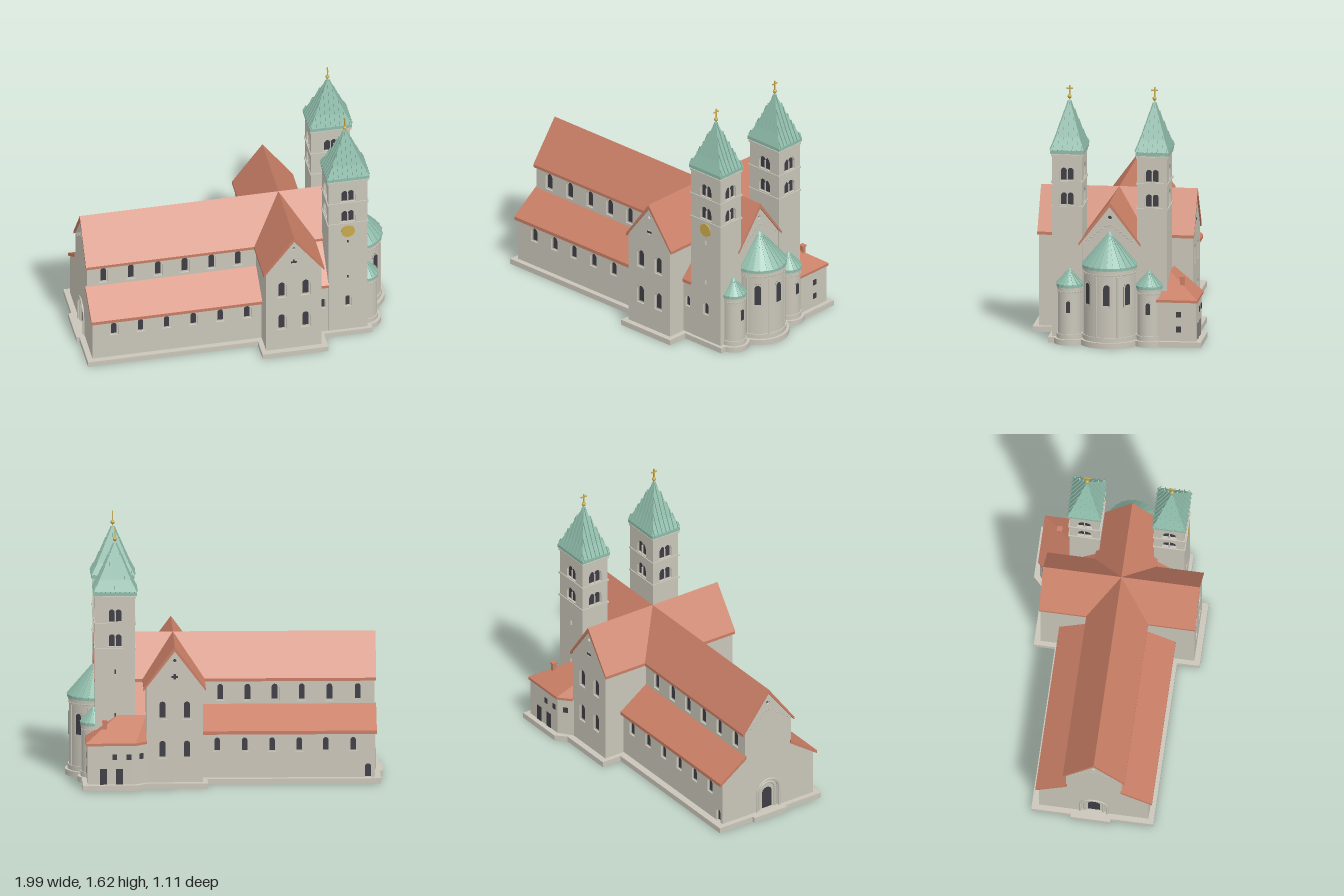
import * as THREE from 'three';
import { mergeGeometries } from 'three/addons/utils/BufferGeometryUtils.js';
import { ConvexGeometry } from 'three/addons/geometries/ConvexGeometry.js';

const PI = Math.PI, AXIS = 0.03; // AXIS: z of the nave centre line
const mat = (name, color) => Object.assign(new THREE.MeshStandardMaterial({ color }), { name });

export function createModel() {
  const stone = mat('stone', 0xc9c5b9), tile = mat('roofTile', 0xc87e65), copper = mat('copper', 0x8fbcaa);
  const dark = mat('darkOpening', 0x3d3d44), gold = mat('gold', 0xc8aa4c);
  const root = new THREE.Group();
  root.name = 'church';

  const add = (name, geo, m, parent = root, x = 0, y = 0, z = 0) => {
    const mesh = new THREE.Mesh(geo, m);
    mesh.name = name;
    mesh.position.set(x, y, z);
    parent.add(mesh);
    return mesh;
  };
  const box = (name, w, h, d, m, x, y, z, parent) => add(name, new THREE.BoxGeometry(w, h, d), m, parent, x, y, z);
  const poly = pts => new THREE.Shape(pts.map(p => new THREE.Vector2(...p)));
  const extrude = (shape, depth) => new THREE.ExtrudeGeometry(shape, { depth, bevelEnabled: false, curveSegments: 8 });
  const flat = g => { const n = g.toNonIndexed(); n.computeVertexNormals(); return n; };

  // Outline of an opening: round-headed, square or circular
  const opening = ({ x = 0, y, w, h, kind }, Type = THREE.Shape) => {
    const s = new Type();
    if (kind === 'round') { s.absarc(x, y, w / 2, 0, PI * 2, false); return s; }
    s.moveTo(x - w / 2, y);
    s.lineTo(x + w / 2, y);
    if (kind === 'square') { s.lineTo(x + w / 2, y + h); s.lineTo(x - w / 2, y + h); }
    else { s.lineTo(x + w / 2, y + h - w / 2); s.absarc(x, y + h - w / 2, w / 2, 0, PI, false); }
    s.closePath();
    return s;
  };
  const plain = (x, y, w, h, kind) => ({ x, y, w, h, kind, lights: [] });
  const framed = (x, y, w, h) => ({ x, y, w, h, lights: [{ x, y: y + h * 0.09, w: w * 0.62, h: h * 0.83 }] });
  const twin = y => ({ x: 0, y, w: 0.094, h: 0.094,
    lights: [-1, 1].map(s => ({ x: s * 0.021, y: y + 0.004, w: 0.036, h: 0.075 })) });

  // Recessed frame and dark pane of one opening
  const glaze = (win, parent, zFrame, zPane) => {
    add('windowPane', new THREE.ShapeGeometry(opening(win), 8), dark, parent, 0, 0, zPane);
    if (!win.lights.length) return;
    const f = opening(win);
    win.lights.forEach(l => f.holes.push(opening(l, THREE.Path)));
    add('windowFrame', new THREE.ShapeGeometry(f, 8), stone, parent, 0, 0, zFrame);
  };
  // Wall slab with openings; angle turns its outside from +z
  const wall = (name, outline, wins, x, z, angle) => {
    const g = new THREE.Group();
    g.name = name;
    g.position.set(x, 0, z);
    g.rotation.y = angle;
    root.add(g);
    const s = poly(outline);
    wins.forEach(w => s.holes.push(opening(w, THREE.Path)));
    add(name + 'Face', extrude(s, 0.02).translate(0, 0, -0.02), stone, g);
    wins.forEach(w => glaze(w, g, -0.011, -0.016));
    return g;
  };
  const rect = (x0, x1, y0, y1) => [[x0, y0], [x1, y0], [x1, y1], [x0, y1]];
  const gable = (hw, y0, eave, top) => [[-hw, y0], [hw, y0], [hw, eave], [0, top], [-hw, eave]];

  // Small blind arches
  const archlet = () => new THREE.TorusGeometry(0.010, 0.0035, 4, 6, PI);
  const gableFrieze = g => {
    const parts = [archlet().translate(0, 0.745, 0)];
    for (let i = 0; i < 6; i++) for (const s of [-1, 1])
      parts.push(archlet().translate(s * (0.024 + i * 0.023), 0.738 - i * 0.018, 0));
    add('gableFrieze', mergeGeometries(parts), stone, g);
  };

  // Plinth
  const plinth = poly([[-0.98, -0.36], [0.105, -0.36], [0.105, -0.495], [0.49, -0.495], [0.55, -0.555], [0.89, -0.555],
    [0.89, -0.25], [0.835, -0.25], [0.835, 0.415], [0.525, 0.415], [0.525, 0.552], [0.105, 0.552], [0.105, 0.41],
    [-0.98, 0.41], [-0.98, 0.14], [-1, 0.14], [-1, -0.11], [-0.98, -0.11]]);
  add('plinth', extrude(plinth, 0.035).rotateX(PI / 2).translate(0, 0.035, 0), stone);

  // Long walls, the same on both sides
  const nave = [-0.84, -0.663, -0.49, -0.32, -0.15, 0.02], aisle = [-0.807, -0.636, -0.47, -0.3, -0.128, 0.043];
  for (const s of [1, -1]) {
    const angle = s > 0 ? 0 : PI, z = d => AXIS + s * d;
    const span = (a, b, y0, y1) => rect(Math.min(a * s, b * s), Math.max(a * s, b * s), y0, y1);
    wall('clerestoryWall', span(-0.945, 0.8, 0.3, 0.65), nave.map(x => framed(x * s, 0.49, 0.058, 0.115)), 0, z(0.175), angle);
    const low = aisle.map(x => framed(x * s, 0.2, 0.055, 0.095));
    if (s < 0) low.push(plain(0.9, 0.036, 0.04, 0.085));
    wall('aisleWall', span(-0.945, 0.14, 0, 0.335), low, 0, z(0.345), angle);
    wall('transeptGable', gable(0.1775, 0, 0.64, 0.885), [
      ...[-0.0765, 0.0765].flatMap(x => [framed(x, 0.435, 0.062, 0.122), framed(x, 0.185, 0.062, 0.122)]),
      plain(0, 0.81, 0.022, 0, 'round'),
      plain(0, 0.687, 0.013, 0.038, 'square')], 0.3125, z(0.485), angle);
    box('crossOpeningArm', 0.038, 0.012, 0.004, dark, 0.3125, 0.706, z(0.485));
    for (const e of [-1, 1])
      wall('transeptSideWall', rect(-0.485, 0.485, 0, 0.65), [], 0.3125 + e * 0.1775, AXIS, e * PI / 2);
    wall('choirAisleWall', span(0.48, 0.58, 0, 0.395), [framed(0.525 * s, 0.215, 0.036, 0.075)], 0, z(0.36), angle);

    // Lean-to roofs
    const leanTo = (name, pts, x0, x1) => {
      const geo = extrude(poly(pts.map(([d, y]) => [-z(d), y])), x1 - x0);
      add(name, geo.rotateY(PI / 2), tile, root, x0);
    };
    leanTo('aisleRoof', [[0.368, 0.335], [0.17, 0.475], [0.17, 0.45], [0.368, 0.313]], -0.955, 0.136);
    leanTo('choirAisleRoof', [[0.372, 0.4], [0.17, 0.615], [0.17, 0.585], [0.372, 0.38]], 0.488, 0.56);
  }

  // Gable ends
  const west = wall('westFront', [[-0.345, 0], [0.345, 0], [0.345, 0.32], [0.175, 0.455], [0.175, 0.64], [0, 0.885],
    [-0.175, 0.64], [-0.175, 0.455], [-0.345, 0.32]], [
    { x: 0, y: 0.036, w: 0.15, h: 0.2, lights: [{ x: 0, y: 0.037, w: 0.075, h: 0.145 }] },
    plain(0, 0.8, 0.026, 0, 'round')], -0.945, AXIS, -PI / 2);
  const east = wall('eastGable', gable(0.175, 0, 0.64, 0.885), [plain(0, 0.8, 0.026, 0, 'round')], 0.8, AXIS, PI / 2);
  gableFrieze(west);
  gableFrieze(east);
  // Portal arches and columns
  [[0.085, 0.003], [0.058, -0.008]].forEach(([r, z]) => {
    add('portalArch', new THREE.TorusGeometry(r, 0.007, 6, 20, PI), stone, west, 0, 0.161, z);
    for (const s of [-1, 1]) add('portalColumn', new THREE.CylinderGeometry(0.007, 0.007, 0.13, 8), stone, west, s * r, 0.097, z);
  });

  // Crossing ridge roofs
  const ridge = hw => poly([[-hw, 0.637], [0, 0.9], [hw, 0.637], [hw, 0.618], [0, 0.87], [-hw, 0.618]]);
  add('naveRoof', extrude(ridge(0.195), 1.765).rotateY(PI / 2), tile, root, -0.955, 0, AXIS);
  add('transeptRoof', extrude(ridge(0.194), 0.988), tile, root, 0.3125, 0, AXIS - 0.494);

  // Towers
  const ringY = [[1, 1.225], [0.72, 1.3], [0, 1.53]];
  const spireY = f => f > 0.72 ? 1.225 + (1 - f) / 0.28 * 0.075 : 1.53 - f / 0.72 * 0.23;
  // Standing seams for one spire face: a = half width, b = distance to the face
  const seams = (a, b, k, angle) => {
    const out = [];
    for (let i = -k; i <= k; i++) {
      const u = Math.max(Math.abs(i) / (k + 0.5), 0.04);
      const fs = u < 0.7 ? [1, 0.72, u] : [1, u];
      const line = fs.map(f => [b * f, spireY(f)]);
      const pts = [...line, ...line.map(([o, y]) => [o + 0.007, y + 0.004]).reverse()];
      out.push(extrude(poly(pts), 0.006).translate(0, 0, -0.003).rotateY(-PI / 2)
        .translate(i / (k + 0.5) * a, 0, 0).rotateY(angle));
    }
    return out;
  };
  for (const s of [1, -1]) {
    const cx = 0.682, cz = AXIS + s * 0.268;
    for (let i = 0; i < 4; i++) {
      const angle = i * PI / 2, wide = i % 2 === 0, hw = wide ? 0.125 : 0.095, d = wide ? 0.095 : 0.125;
      const wins = [twin(1.033), twin(0.875)];
      if (i === (s > 0 ? 0 : 2)) {
        wins.push(plain(0, 0.7, 0.012, 0.03, 'square'), plain(0, 0.425, 0.012, 0.03, 'square'));
        if (s > 0) wins.push(framed(0, 0.21, 0.045, 0.085));
      }
      const g = wall('towerWall', rect(-hw, hw, 0, 1.2), wins, cx + Math.sin(angle) * d, cz + Math.cos(angle) * d, angle);
      for (const y of [1.035, 0.877])
        add('windowColumn', new THREE.CylinderGeometry(0.004, 0.004, 0.058, 6), stone, g, 0, y + 0.029, -0.005);
    }
    for (const y of [0.862, 1.022, 1.19]) box('towerStringCourse', 0.262, 0.012, 0.202, stone, cx, y, cz);
    const profile = [[0, 1.203], [1, 1.203], ...ringY].map(([r, y]) => new THREE.Vector2(r * Math.SQRT2, y));
    const spire = flat(new THREE.LatheGeometry(profile, 4, PI / 4)).scale(0.135, 1, 0.105);
    spire.computeVertexNormals();
    add('spire', spire, copper, root, cx, 0, cz);
    add('spireSeams', mergeGeometries([...seams(0.135, 0.105, 4, 0), ...seams(0.135, 0.105, 4, PI),
      ...seams(0.105, 0.135, 3, PI / 2), ...seams(0.105, 0.135, 3, -PI / 2)]), copper, root, cx, 0, cz);
    add('finialBall', new THREE.SphereGeometry(0.013, 12, 8), gold, root, cx, 1.545, cz);
    box('finialPost', 0.006, 0.09, 0.008, gold, cx, 1.572, cz);
    box('finialBar', 0.006, 0.008, 0.042, gold, cx, 1.597, cz);
  }
  add('clockFace', new THREE.CylinderGeometry(0.043, 0.043, 0.008, 32).rotateX(PI / 2), gold, root, 0.682, 0.805, AXIS + 0.367);

  // Apses: round wall, frieze, windows, copper cone with seams
  const apse = (name, x, z, r, wallTop, coneTop, over, win, angles, ribs, arches) => {
    const g = new THREE.Group();
    g.name = name;
    g.position.set(x, 0, z);
    root.add(g);
    const drum = (n, rad, h, y) => add(n, new THREE.CylinderGeometry(rad, rad, h, 48), stone, g, 0, y + h / 2, 0);
    drum(name + 'Plinth', r + 0.025, 0.035, 0);
    drum(name + 'Base', r + 0.007, 0.03, 0.035);
    drum(name + 'Wall', r, wallTop, 0);
    drum(name + 'Cornice', r + 0.006, 0.014, wallTop - 0.014);
    const ro = r + over, eave = wallTop + 0.018;
    const cone = new THREE.LatheGeometry([[0, wallTop], [ro, wallTop], [ro, eave], [0, coneTop]].map(p => new THREE.Vector2(...p)), ribs * 2);
    add(name + 'Roof', flat(cone), copper, g);
    const len = Math.hypot(ro, coneTop - eave), tilt = Math.atan2(coneTop - eave, ro), parts = [], frieze = [];
    for (let i = 0; i < ribs * 2; i++)
      parts.push(new THREE.BoxGeometry(len, 0.009, 0.005).rotateZ(-tilt)
        .translate(ro / 2, (eave + coneTop) / 2, 0).rotateY(i * PI / ribs));
    add(name + 'Seams', mergeGeometries(parts), copper, g);
    for (let i = 0; i < arches; i++)
      frieze.push(archlet().translate(0, wallTop - 0.035, r + 0.001).rotateY((i + 0.5) / arches * PI));
    add(name + 'Frieze', mergeGeometries(frieze), stone, g);
    for (const a of angles) {
      const w = new THREE.Group();
      w.name = name + 'Window';
      w.rotation.y = PI / 2 + a;
      g.add(w);
      glaze(win, w, r + 0.002, r + 0.001);
    }
    return g;
  };
  const main = apse('mainApse', 0.8, AXIS, 0.163, 0.49, 0.71, 0.01, framed(0, 0.255, 0.066, 0.16), [0, -0.87, 0.87], 12, 24);
  for (const a of [-1.3, -0.43, 0.43, 1.3])
    add('apseShaft', new THREE.CylinderGeometry(0.006, 0.006, 0.4, 8), stone, main, Math.cos(a) * 0.163, 0.25, Math.sin(a) * 0.163);
  for (const s of [-1, 1])
    apse('sideApse', 0.815, AXIS + s * 0.251, 0.074, 0.362, 0.472, 0.009, framed(0, 0.195, 0.042, 0.09), [0], 8, 11);

  // Sacristy with hipped roof and chimney
  const plan = poly([[0.48, -0.455], [0.565, -0.52], [0.86, -0.52], [0.86, -0.27], [0.48, -0.27]]);
  add('sacristyWalls', extrude(plan, 0.29).rotateX(PI / 2).translate(0, 0.29, 0), stone);
  const eaves = [[0.488, -0.465], [0.56, -0.53], [0.87, -0.53], [0.87, -0.265], [0.488, -0.265]];
  add('sacristyRoof', new ConvexGeometry([
    ...eaves.flatMap(([x, z]) => [0.282, 0.298].map(y => new THREE.Vector3(x, y, z))),
    new THREE.Vector3(0.488, 0.44, -0.335), new THREE.Vector3(0.67, 0.44, -0.335)]), tile);
  box('chimney', 0.026, 0.1, 0.026, tile, 0.75, 0.37, -0.42);
  box('chimneyCap', 0.034, 0.01, 0.034, tile, 0.75, 0.42, -0.42);
  for (const y of [0.11, 0.205]) box('sacristyEastWindow', 0.006, 0.036, 0.03, dark, 0.86, y, -0.41);
  for (const [x, y, w, h] of [[0.76, 0.085, 0.045, 0.1], [0.66, 0.085, 0.045, 0.1], [0.69, 0.21, 0.03, 0.036], [0.6, 0.21, 0.03, 0.036]])
    box('sacristyNorthOpening', w, h, 0.006, dark, x, y, -0.52);
  box('sacristyCornerWindow', 0.03, 0.036, 0.006, dark, 0.5225, 0.21, -0.4875).rotation.y = Math.atan2(0.065, 0.085);

  return root;
}
